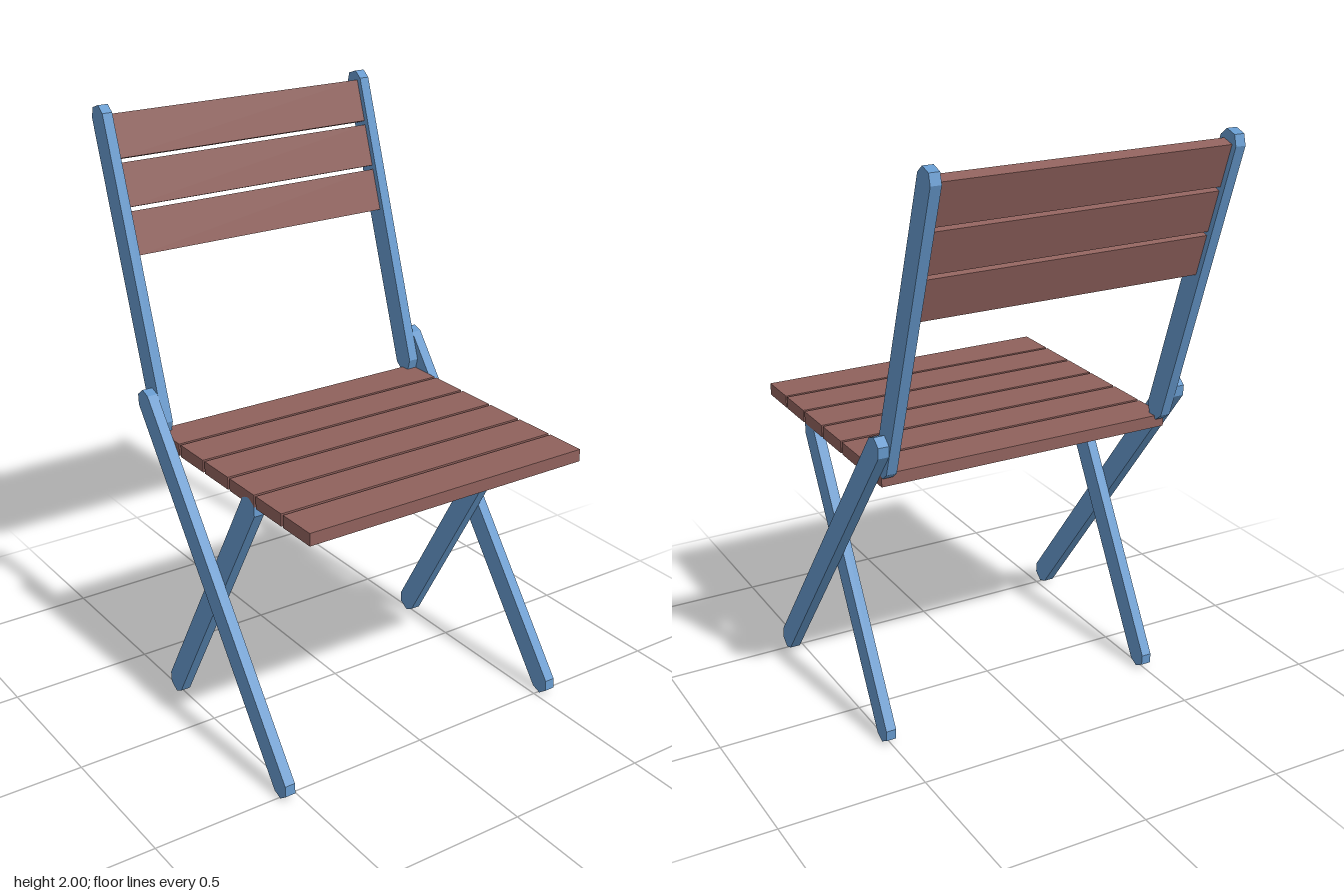
import * as THREE from 'three';

const HALF = 0.04;     // half width of a bar
const CHAMFER = 0.03;  // length of the cut corners at bar ends

// Flat bar with chamfered ends, running from a to b (each [z, y]), extruded along x
function barGeometry(a, b, thickness) {
  const start = new THREE.Vector2(...a);
  const dir = new THREE.Vector2(...b).sub(start);
  const len = dir.length();
  dir.normalize();
  const outline = [
    [-HALF / 2, 0], [HALF / 2, 0], [HALF, CHAMFER], [HALF, len - CHAMFER],
    [HALF / 2, len], [-HALF / 2, len], [-HALF, len - CHAMFER], [-HALF, CHAMFER],
  ].map(([u, v]) => new THREE.Vector2(
    start.x + u * dir.y + v * dir.x,
    start.y - u * dir.x + v * dir.y));
  const geo = new THREE.ExtrudeGeometry(new THREE.Shape(outline), { depth: thickness, bevelEnabled: false });
  return geo.translate(0, 0, -thickness / 2).rotateY(-Math.PI / 2);
}

export function createModel() {
  const chair = new THREE.Group();
  chair.name = 'foldingChair';
  const frame = new THREE.MeshStandardMaterial({ color: 0x6699cc, flatShading: true });
  const wood = new THREE.MeshStandardMaterial({ color: 0x8f615c, flatShading: true });

  const add = (name, geo, mat, x, y, z, parent = chair) => {
    const mesh = new THREE.Mesh(geo, mat);
    mesh.name = name;
    mesh.position.set(x, y, z);
    parent.add(mesh);
    return mesh;
  };

  // Crossed legs and back posts, mirrored left and right
  const postBottom = [-0.262, 0.975], postTop = [-0.6, 1.993];
  const frontLeg = barGeometry([0.522, 0.012], [-0.317, 1.108], 0.036);
  const rearLeg = barGeometry([-0.241, 0.01], [0.306, 0.952], 0.035);
  const backPost = barGeometry(postBottom, postTop, 0.035);
  for (const [side, s] of [['left', 1], ['right', -1]]) {
    add(side + 'FrontLeg', frontLeg, frame, s * 0.538, 0, 0);
    add(side + 'RearLeg', rearLeg, frame, s * 0.5025, 0, 0);
    add(side + 'BackPost', backPost, frame, s * 0.5025, 0, 0);
  }

  // Seat of six slats
  const seat = new THREE.Group();
  seat.name = 'seat';
  chair.add(seat);
  const seatSlat = new THREE.BoxGeometry(1.04, 0.042, 0.142);
  for (let i = 0; i < 6; i++) {
    add('seatSlat' + (i + 1), seatSlat, wood, 0, 0.959, 0.559 - i * 0.1525, seat);
  }

  // Backrest of three slats, leaning with the posts
  const backrest = new THREE.Group();
  backrest.name = 'backrest';
  const slope = (postTop[0] - postBottom[0]) / (postTop[1] - postBottom[1]);
  const midY = 1.744;
  backrest.position.set(0, midY, postBottom[0] + (midY - postBottom[1]) * slope);
  backrest.rotation.x = Math.atan(slope);
  chair.add(backrest);
  const backSlat = new THREE.BoxGeometry(0.97, 0.144, 0.042);
  for (let i = -1; i <= 1; i++) {
    add('backSlat' + (i + 2), backSlat, wood, 0, i * 0.158, 0, backrest);
  }

  return chair;
}
